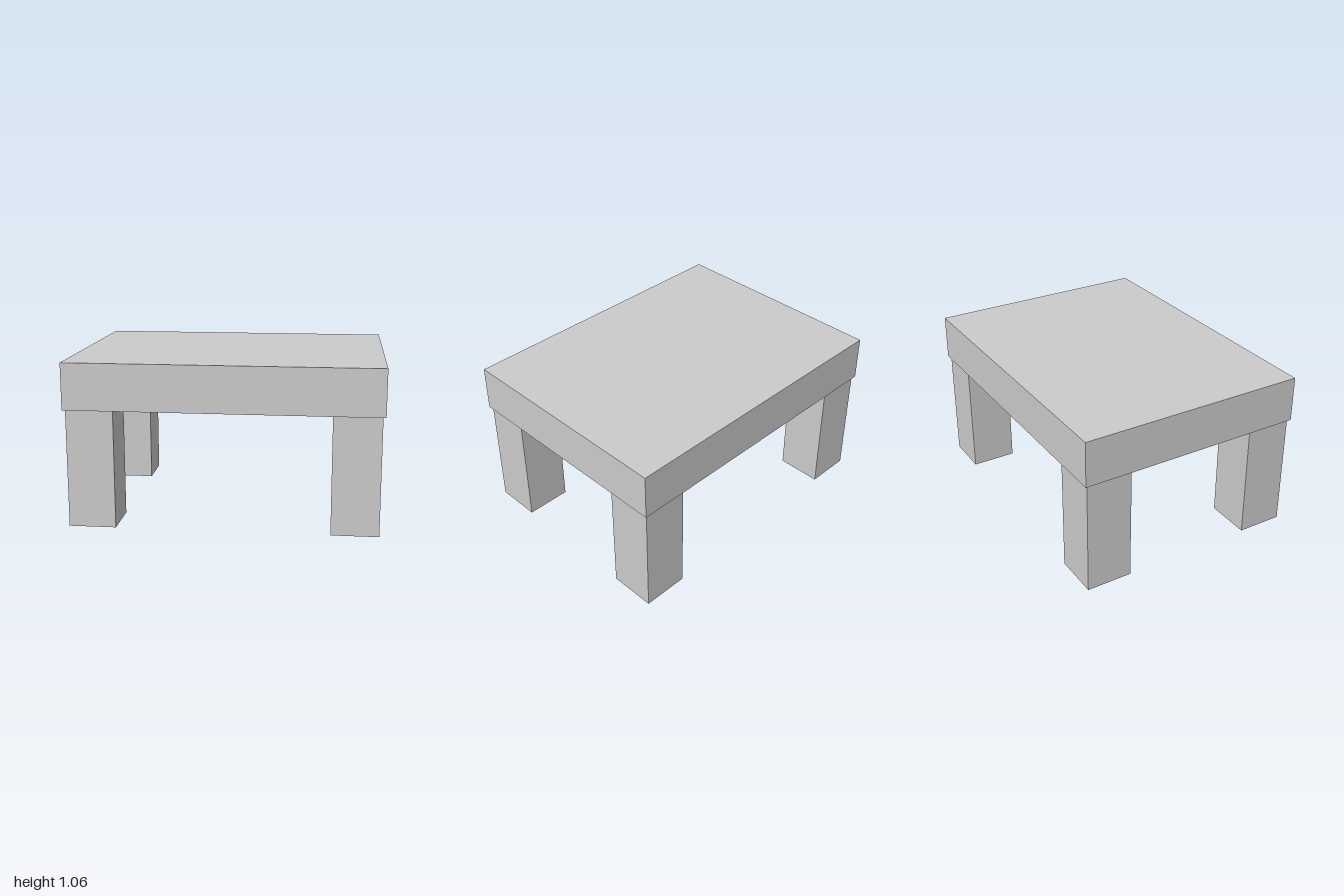
import * as THREE from 'three';

export function createModel() {
  const table = new THREE.Group();
  table.name = 'table';
  const material = new THREE.MeshStandardMaterial({ color: 0xcccccc });

  const addBox = (name, size, position) => {
    const mesh = new THREE.Mesh(new THREE.BoxGeometry(...size), material);
    mesh.name = name;
    mesh.position.set(...position);
    table.add(mesh);
  };

  const legHeight = 0.76;
  const legWidth = 0.302;
  const topThickness = 0.3;

  // Thick slab top
  addBox('tableTop', [2, topThickness, 1.508], [0, legHeight + topThickness / 2, 0]);

  // Four square legs, set slightly in from the edges
  for (const [xName, x] of [['Left', 1], ['Right', -1]]) {
    for (const [zName, z] of [['front', 1], ['back', -1]]) {
      addBox(`${zName}${xName}Leg`, [legWidth, legHeight, legWidth],
        [x * 0.832, legHeight / 2, z * 0.587]);
    }
  }

  return table;
}
